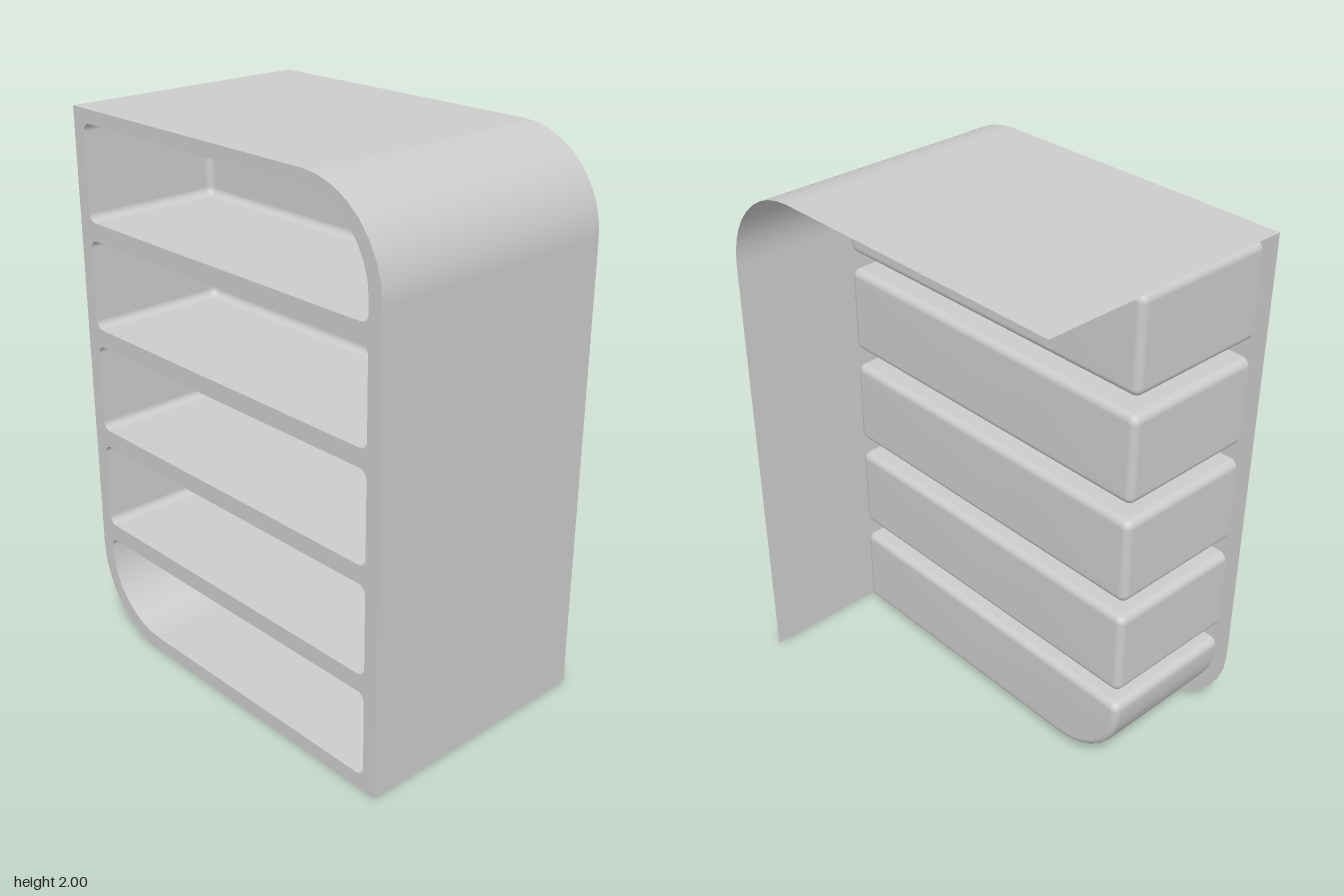
import * as THREE from 'three';

const W = 0.74, H = 2, FRONT = 0.48, BACK = -0.48;
const BIG = 0.33, SMALL = 0.03;
const POCKET_BACK = -0.05, FILLET = 0.028;
const material = new THREE.MeshStandardMaterial({ color: 0xcccccc, side: THREE.DoubleSide });

// Counter-clockwise rounded rectangle; radii run bottom-left, bottom-right, top-right, top-left
function outline(x0, x1, y0, y1, radii, inset = 0, steps = 8) {
  const points = [];
  const corners = [[x0, y0, 1, 1], [x1, y0, -1, 1], [x1, y1, -1, -1], [x0, y1, 1, -1]];
  corners.forEach(([x, y, sx, sy], i) => {
    const r = radii[i], rr = Math.max(r - inset, 0);
    for (let k = 0; k <= steps; k++) {
      const a = Math.PI + (i + k / steps) * Math.PI / 2;
      points.push(new THREE.Vector2(x + sx * r + rr * Math.cos(a), y + sy * r + rr * Math.sin(a)));
    }
  });
  return points;
}

// Surface joining rings of equal length; an optional centre closes the last ring
function skin(rings, closed, centre) {
  const n = rings[0].length, index = [];
  const positions = rings.flat().flatMap(p => [p.x, p.y, p.z]);
  for (let r = 0; r < rings.length - 1; r++) {
    for (let i = 0; i < (closed ? n : n - 1); i++) {
      const j = (i + 1) % n, a = r * n + i, b = r * n + j;
      index.push(a, a + n, b, b, a + n, b + n);
    }
  }
  if (centre) {
    const c = positions.length / 3, last = (rings.length - 1) * n;
    positions.push(centre.x, centre.y, centre.z);
    for (let i = 0; i < n; i++) index.push(last + i, c, last + (i + 1) % n);
  }
  const geometry = new THREE.BufferGeometry();
  geometry.setAttribute('position', new THREE.Float32BufferAttribute(positions, 3));
  geometry.setIndex(index);
  geometry.computeVertexNormals();
  return geometry;
}

const atDepth = (points, z) => points.map(p => new THREE.Vector3(p.x, p.y, z));

// Closed compartment with a filleted back edge
function pocketGeometry({ x0, x1, y0, y1, radii }) {
  const rings = [atDepth(outline(x0, x1, y0, y1, radii), FRONT)];
  for (let k = 0; k <= 5; k++) {
    const a = k / 5 * Math.PI / 2;
    const inset = FILLET * (1 - Math.cos(a));
    rings.push(atDepth(outline(x0, x1, y0, y1, radii, inset), POCKET_BACK + FILLET * (1 - Math.sin(a))));
  }
  return skin(rings, true, new THREE.Vector3((x0 + x1) / 2, (y0 + y1) / 2, POCKET_BACK));
}

export function createModel() {
  const group = new THREE.Group();
  const add = (name, geometry) => {
    const mesh = new THREE.Mesh(geometry, material);
    mesh.name = name;
    group.add(mesh);
  };

  // Five compartments; the end ones follow the large rounded corners
  const compartments = [];
  for (let i = 0; i < 5; i++) {
    const y0 = i === 0 ? 0.055 : 0.045 + i * 0.391;
    const y1 = i === 4 ? 1.95 : 0.371 + i * 0.391;
    const radii = [i === 0 ? 0.27 : SMALL, SMALL, i === 4 ? 0.27 : SMALL, SMALL];
    compartments.push({ x0: -0.685, x1: 0.685, y0, y1, radii });
  }

  // Front plate with an opening for each compartment
  const plate = new THREE.Shape(outline(-W, W, 0, H, [BIG, 0, BIG, 0]));
  for (const c of compartments) {
    plate.holes.push(new THREE.Path(outline(c.x0, c.x1, c.y0, c.y1, c.radii).reverse()));
  }
  add('frontPlate', new THREE.ShapeGeometry(plate).translate(0, 0, FRONT));

  compartments.forEach((c, i) => add(`compartment${i + 1}`, pocketGeometry(c)));

  // Thin cover: right wall, rounded shoulder and top
  const profile = [new THREE.Vector2(W, 0)];
  for (let k = 0; k <= 10; k++) {
    const a = k / 10 * Math.PI / 2;
    profile.push(new THREE.Vector2(W - BIG + BIG * Math.cos(a), H - BIG + BIG * Math.sin(a)));
  }
  profile.push(new THREE.Vector2(-W, H));
  add('outerCover', skin([atDepth(profile, BACK), atDepth(profile, FRONT)], false));

  return group;
}
